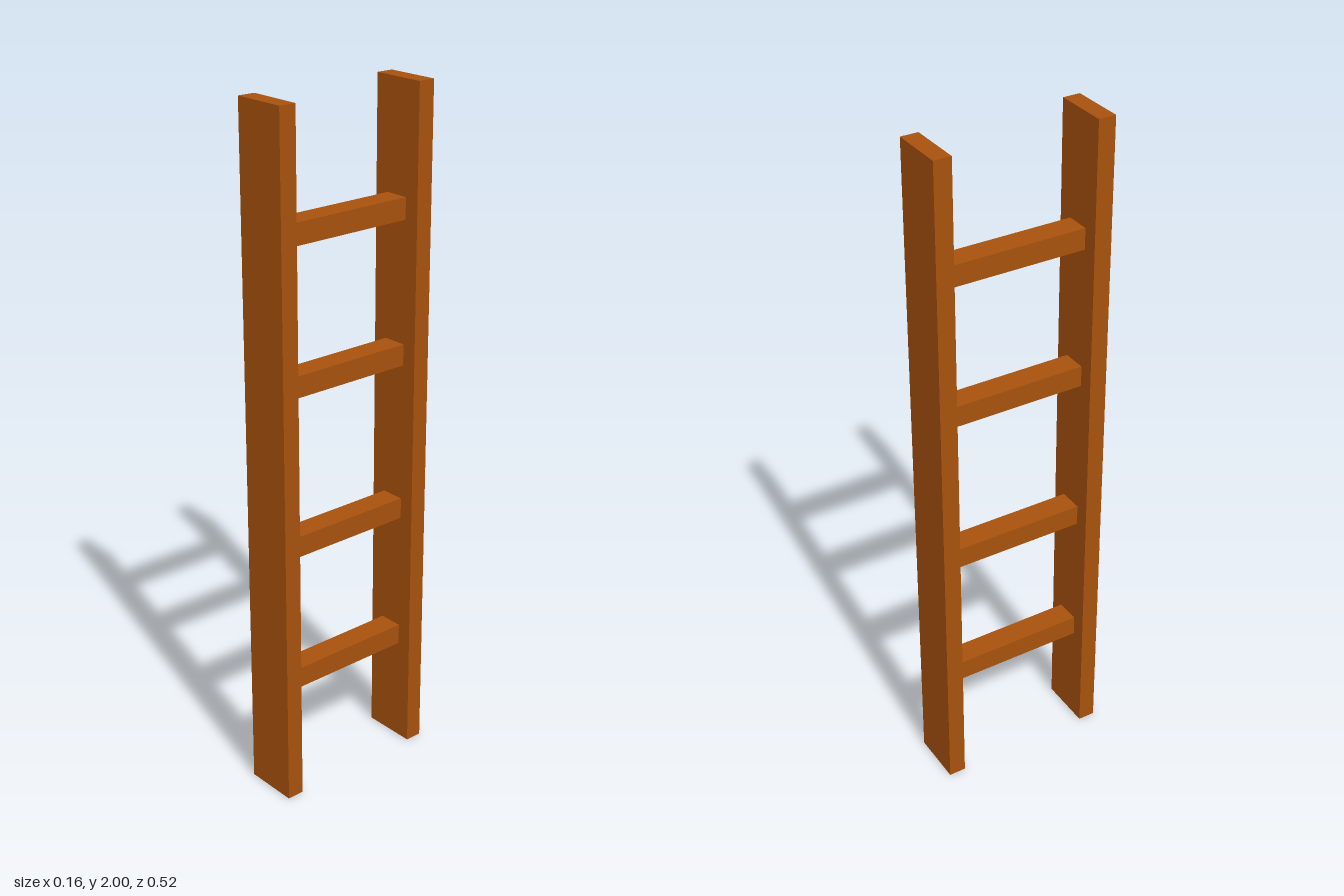
import * as THREE from 'three';

export function createModel() {
  const ladder = new THREE.Group();
  ladder.name = 'ladder';
  const wood = new THREE.MeshStandardMaterial({ color: 0xa8520d });
  wood.name = 'brown wood';

  const addBox = (name, size, y, z) => {
    const mesh = new THREE.Mesh(new THREE.BoxGeometry(...size), wood);
    mesh.name = name;
    mesh.position.set(0, y, z);
    ladder.add(mesh);
  };

  // Two upright side rails
  const railDepth = 0.051, railZ = 0.233;
  addBox('frontRail', [0.162, 2, railDepth], 1, railZ);
  addBox('backRail', [0.162, 2, railDepth], 1, -railZ);

  // Rungs spanning the gap between the rails
  const span = 2 * railZ - railDepth;
  [0.35, 0.766, 1.237, 1.654].forEach((y, i) =>
    addBox(`rung${i + 1}`, [0.072, 0.062, span], y, 0));

  return ladder;
}
